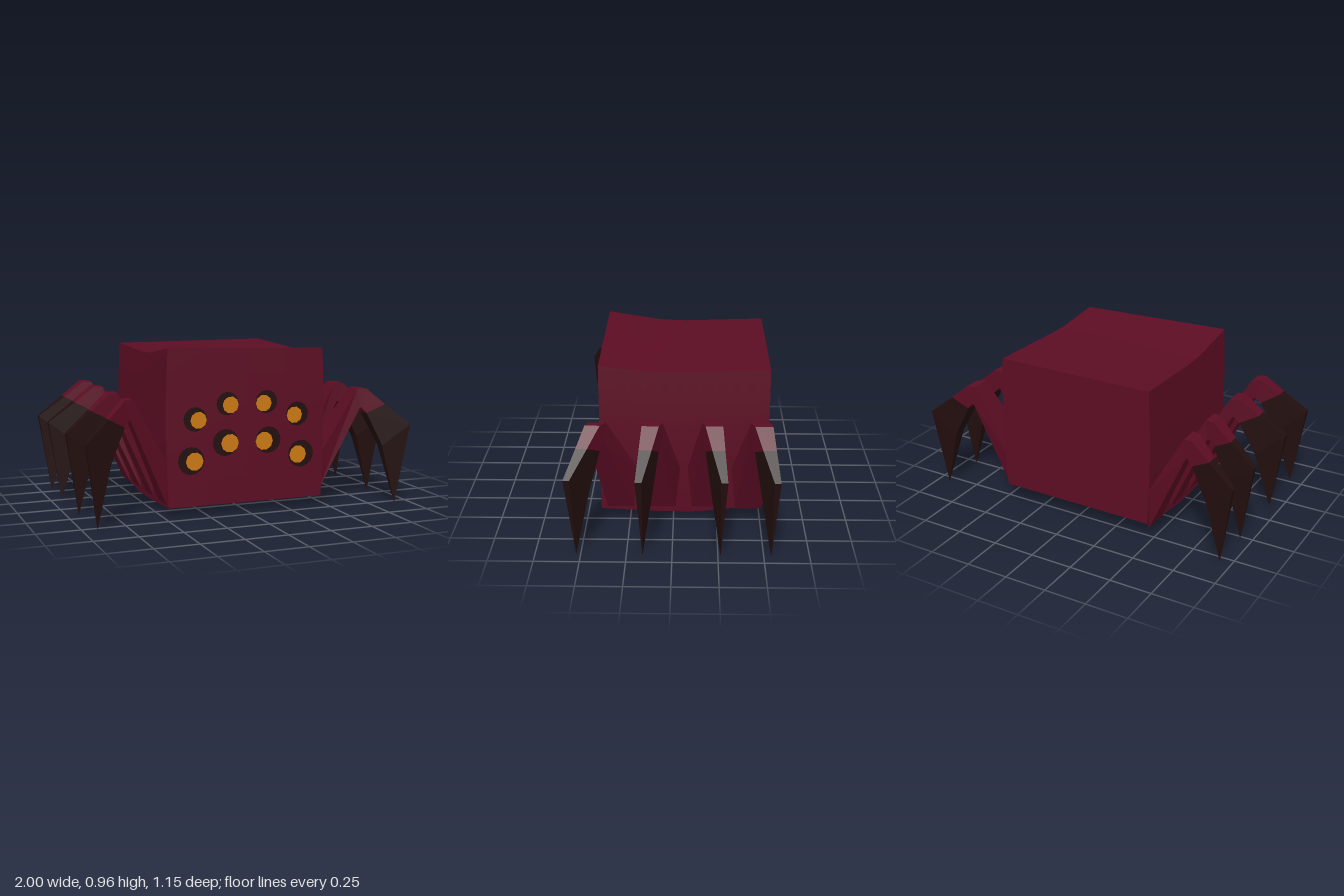
import * as THREE from 'three';
import { toCreasedNormals } from 'three/addons/utils/BufferGeometryUtils.js';

const mat = (name, color) => {
  const m = new THREE.MeshStandardMaterial({ color });
  m.name = name;
  return m;
};

// Piecewise linear lookup in a list of [position, value], ascending
function lookup(points, p) {
  for (let i = 1; i < points.length; i++) {
    const [a, va] = points[i - 1], [b, vb] = points[i];
    if (p <= b || i === points.length - 1) return va + (vb - va) * (p - a) / (b - a);
  }
}

// Boxy body with bulging sides, sagging back and rounded belly
const BACK = -0.54, FRONT = 0.418;
const roof = [[-0.54, 0.92], [-0.05, 0.905], [0.1, 0.908], [0.42, 0.95]];
const belly = [[-0.54, 0.105], [-0.35, 0.065], [-0.12, 0.04], [0.1, 0.043], [0.42, 0.058]];

function bodyGeometry() {
  const geo = new THREE.BoxGeometry(1, 1, 1, 4, 6, 12);
  const pos = geo.attributes.position;
  for (let i = 0; i < pos.count; i++) {
    const u = pos.getX(i) * 2, v = pos.getY(i) + 0.5;
    const z = BACK + (pos.getZ(i) + 0.5) * (FRONT - BACK);
    const tilt = -0.013 * u * Math.max(0, (z + 0.05) / 0.47);
    const y = THREE.MathUtils.lerp(lookup(belly, z), lookup(roof, z) + tilt, v);
    const half = 0.475 + 0.012 * (1 - (2 * v - 1) ** 2);
    pos.setXYZ(i, u * half, y, z);
  }
  return toCreasedNormals(geo, 0.6);
}

// Leg side profile, root to tip: upper edge x, y and lower edge x, y
const PROFILE = [
  [0.465, 0.29, 0.47, 0.06],
  [0.69, 0.692, 0.705, 0.578],
  [0.74, 0.692, 0.715, 0.578],
  [0.85, 0.6, 0.745, 0.545],
  [1.0, 0.48, 0.84, 0.35],
  [0.93, 0.005, 0.928, 0.005],
];

// z limits of each leg at the root, knee and end, and its reach past the knee
const LEGS = [
  { name: 'front', lo: [0.195, 0.37, 0.54], hi: [0.41, 0.46, 0.575], reach: 0.94 },
  { name: 'midFront', lo: [-0.045, 0.06, 0.158], hi: [0.17, 0.163, 0.195], reach: 1 },
  { name: 'midBack', lo: [-0.29, -0.27, -0.297], hi: [-0.075, -0.165, -0.262], reach: 1 },
  { name: 'back', lo: [-0.54, -0.538, -0.575], hi: [-0.325, -0.43, -0.54], reach: 1 },
];

function legRings(leg, side) {
  const zAt = (list, x) => lookup([[0.47, list[0]], [0.7, list[1]], [1, list[2]]], x);
  return PROFILE.map(([tx, ty, bx, by], i) => {
    const corner = (x, y, list, inset = 0) => {
      let z = zAt(list, x) + inset;
      if (i === PROFILE.length - 1) z = (zAt(leg.lo, x) + zAt(leg.hi, x)) / 2;
      const rx = x > 0.7 ? 0.7 + (x - 0.7) * leg.reach : x;
      return [side * rx, y, z];
    };
    const inset = i === 0 ? 0.03 : 0;
    return [corner(tx, ty, leg.hi), corner(tx, ty, leg.lo),
      corner(bx, by, leg.lo, inset), corner(bx, by, leg.hi, -inset)];
  });
}

// Flat faceted skin over a run of four-cornered rings
function skin(rings, side) {
  const out = [];
  const tri = (a, b, c) => out.push(...a, ...(side > 0 ? b : c), ...(side > 0 ? c : b));
  for (let i = 0; i + 1 < rings.length; i++) {
    for (let k = 0; k < 4; k++) {
      const n = (k + 1) % 4;
      tri(rings[i][k], rings[i + 1][k], rings[i + 1][n]);
      tri(rings[i][k], rings[i + 1][n], rings[i][n]);
    }
  }
  const geo = new THREE.BufferGeometry();
  geo.setAttribute('position', new THREE.Float32BufferAttribute(out, 3));
  geo.computeVertexNormals();
  return geo;
}

// Eyes: socket x, y, radius, then iris x, y, radius
const EYES = [
  [0.315, 0.558, 0.07, 0.296, 0.552, 0.049],
  [0.12, 0.638, 0.067, 0.102, 0.63, 0.049],
  [0.34, 0.322, 0.08, 0.32, 0.318, 0.053],
  [0.132, 0.415, 0.078, 0.106, 0.41, 0.054],
];

export function createModel() {
  const model = new THREE.Group();
  model.name = 'spider';
  const crimson = mat('crimson hide', 0x5c0d23);
  const dark = mat('dark claw', 0x230e0e);
  const orange = mat('orange iris', 0xcc7a12);

  const add = (parent, name, geo, material) => {
    const mesh = new THREE.Mesh(geo, material);
    mesh.name = name;
    parent.add(mesh);
    return mesh;
  };

  add(model, 'body', bodyGeometry(), crimson);

  for (const side of [1, -1]) {
    const label = side > 0 ? 'Left' : 'Right';

    // Legs with dark claws
    for (const leg of LEGS) {
      const group = new THREE.Group();
      group.name = leg.name + 'Leg' + label;
      const rings = legRings(leg, side);
      add(group, 'upperLeg', skin(rings.slice(0, 4), side), crimson);
      add(group, 'claw', skin(rings.slice(3), side), dark);
      model.add(group);
    }

    // Flat eyes on the face
    EYES.forEach(([x, y, r, ix, iy, ir], i) => {
      const eye = new THREE.Group();
      eye.name = 'eye' + label + (i + 1);
      add(eye, 'socket', new THREE.CircleGeometry(r, 16), dark).position.set(side * x, y, FRONT + 0.003);
      add(eye, 'iris', new THREE.CircleGeometry(ir, 10), orange).position.set(side * ix, iy, FRONT + 0.006);
      model.add(eye);
    });
  }
  return model;
}
